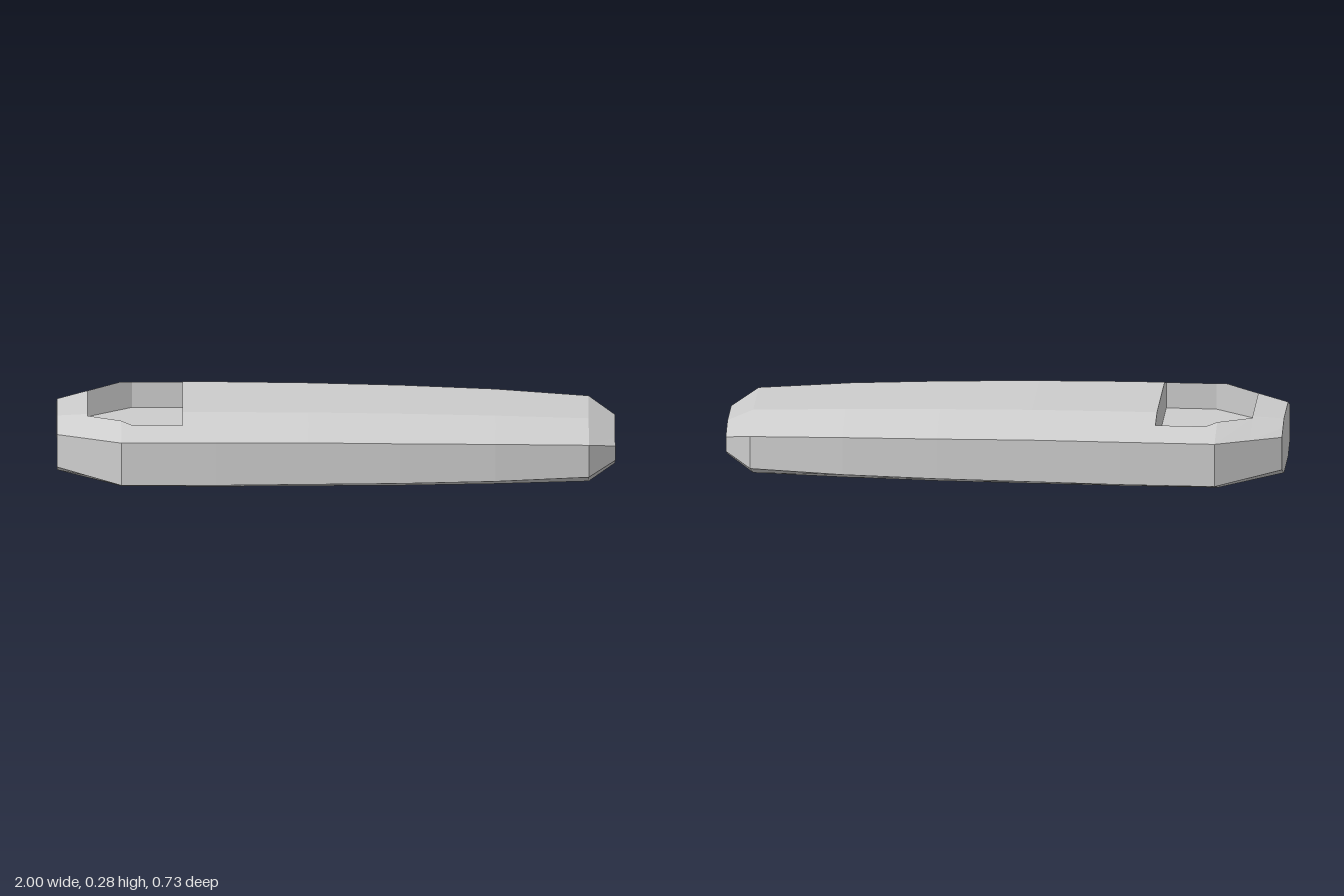
import * as THREE from 'three';

// Hull stations: x, half width, top half width, top y, shoulder y, chine y, bottom y
const STATIONS = [
  [-1.0, 0.197, 0.1, 0.241, 0.2, 0.078, 0.037],
  [-0.77, 0.364, 0.182, 0.279, 0.22, 0.061, 0.002],
  [-0.43, 0.364, 0.182, 0.279, 0.22, 0.061, 0.0],
  [-0.1, 0.353, 0.177, 0.276, 0.217, 0.061, 0.0],
  [0.23, 0.343, 0.171, 0.269, 0.21, 0.061, 0.0],
  [0.57, 0.319, 0.159, 0.258, 0.2, 0.061, 0.002],
  [0.905, 0.27, 0.135, 0.24, 0.181, 0.061, 0.004],
  [1.0, 0.174, 0.088, 0.184, 0.148, 0.094, 0.058],
];
const FLOOR_Y = 0.158;

function stationAt(x) {
  let i = 0;
  while (i < STATIONS.length - 2 && x > STATIONS[i + 1][0]) i++;
  const a = STATIONS[i], b = STATIONS[i + 1], t = (x - a[0]) / (b[0] - a[0]);
  return a.map((v, k) => THREE.MathUtils.lerp(v, b[k], t));
}

// Ten-point section; the rim lies on the upper slope, the inner point on the deck or the recess floor
function section(x, rim, sunk = false) {
  const [, w, top, yTop, ySh, yLow, yBot] = stationAt(x);
  const r = rim ?? (w + top) / 2;
  const yRim = THREE.MathUtils.mapLinear(r, top, w, yTop, ySh);
  const half = [[top, yBot], [w, yLow], [w, ySh], [r, yRim], sunk ? [r, FLOOR_Y] : [top, yTop]];
  const ring = [...half, ...half.slice().reverse().map(([z, y]) => [-z, y])];
  return { sunk, pts: ring.map(([z, y]) => new THREE.Vector3(x, y, z)) };
}

function flatGeometry(points) {
  const geo = new THREE.BufferGeometry().setFromPoints(points);
  geo.computeVertexNormals();
  return geo;
}

export function createModel() {
  const group = new THREE.Group();
  const grey = new THREE.MeshStandardMaterial({ name: 'light grey', color: 0xcccccc });

  // Doubled sections at both ends of the recess make its end walls
  const rings = [
    section(-1), section(-0.89, 0.15),
    section(-0.89, 0.15, true), section(-0.77, 0.2325, true),
    section(-0.73, 0.26, true), section(-0.55, 0.26, true),
    section(-0.55, 0.26), ...STATIONS.slice(2).map((s) => section(s[0])),
  ];
  const hull = [], recess = [];
  const tri = (list, a, b, c) => {
    if (new THREE.Triangle(a, b, c).getArea() > 1e-7) list.push(a, b, c);
  };

  // Skin between neighbouring sections
  for (let i = 0; i < rings.length - 1; i++) {
    const A = rings[i], B = rings[i + 1], n = A.pts.length;
    for (let j = 0; j < n; j++) {
      const k = (j + 1) % n;
      const list = (A.sunk || B.sunk) && j >= 3 && j <= 5 ? recess : hull;
      tri(list, A.pts[j], B.pts[j], B.pts[k]);
      tri(list, A.pts[j], B.pts[k], A.pts[k]);
    }
  }

  // Flat end faces
  const first = rings[0].pts, last = rings[rings.length - 1].pts;
  for (let j = 1; j < first.length - 1; j++) {
    tri(hull, first[0], first[j], first[j + 1]);
    tri(hull, last[0], last[j + 1], last[j]);
  }

  for (const [name, points] of [['hull', hull], ['recess', recess]]) {
    const mesh = new THREE.Mesh(flatGeometry(points), grey);
    mesh.name = name;
    group.add(mesh);
  }
  return group;
}
